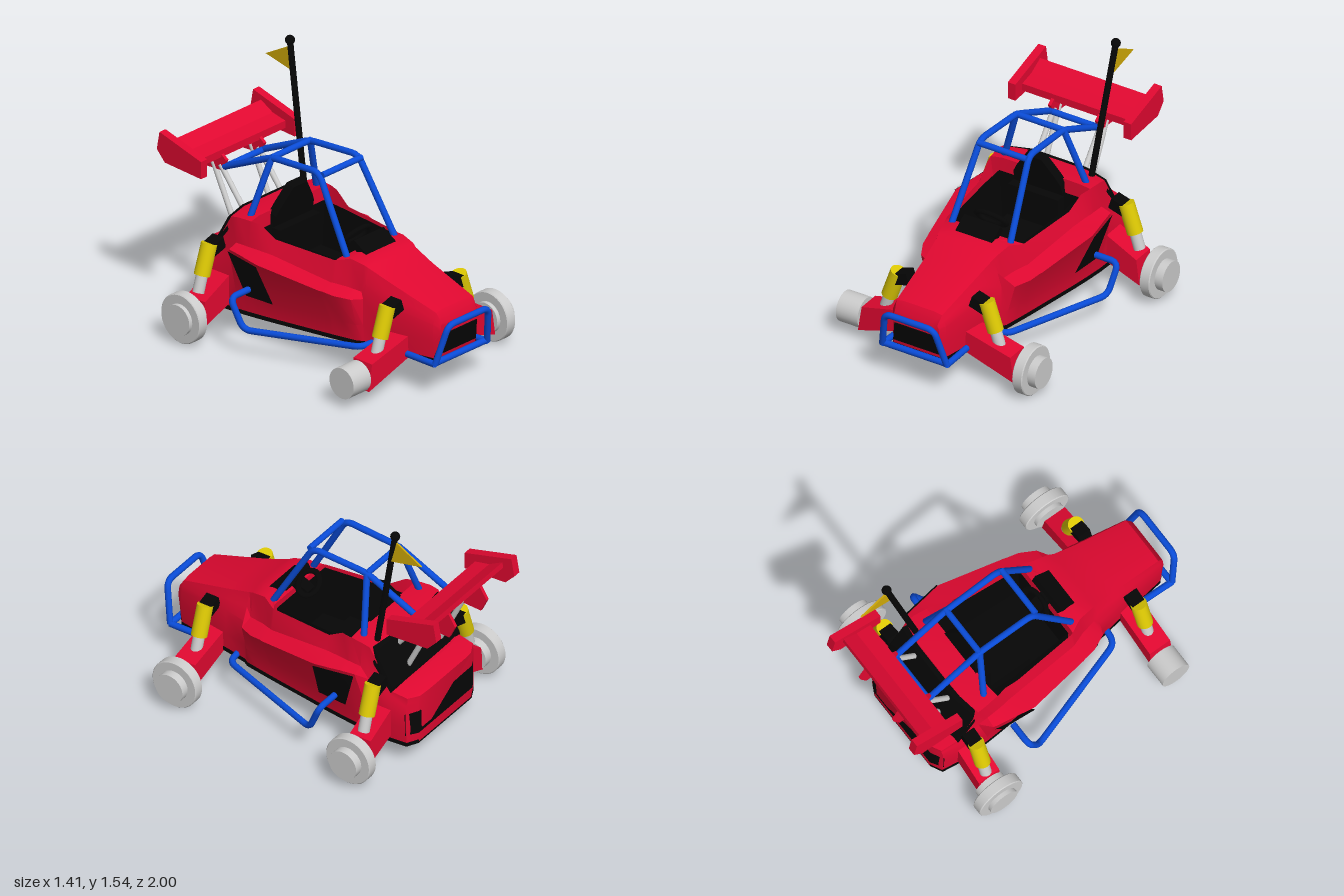
import * as THREE from 'three';
import { toCreasedNormals } from 'three/addons/utils/BufferGeometryUtils.js';

const mat = (color) => new THREE.MeshStandardMaterial({ color, side: THREE.DoubleSide });
const RED = mat(0xe00830), BLACK = mat(0x060606), BLUE = mat(0x0a4cd8);
const YELLOW = mat(0xdcc804), GREY = mat(0xcccccc), FLAG = mat(0xcfa808);
const V = (a) => new THREE.Vector3(...a);
const flip = (pts, s) => pts.map(([x, y, z]) => [x * s, y, z]);

function add(parent, name, geo, material, pos = [0, 0, 0], rot = [0, 0, 0]) {
  const m = new THREE.Mesh(geo, material);
  m.name = name;
  m.position.set(...pos);
  m.rotation.set(...rot);
  parent.add(m);
  return m;
}

// Skin over symmetric cross-sections [z, [x, y] ...], front to back; the tail bows backward
function loft(sections, closed = true) {
  const pos = [], idx = [];
  const n = (sections[0].length - 1) * 2;
  for (const [z, ...half] of sections) {
    const ring = [...half, ...[...half].reverse().map(([x, y]) => [-x, y])];
    for (const [x, y] of ring) pos.push(x, y, z < -0.46 ? z - 0.045 * Math.max(0, 1 - (x / 0.345) ** 2) : z);
  }
  for (let i = 0; i < sections.length - 1; i++)
    for (let j = 0; j < (closed ? n : n - 1); j++) {
      const k = (j + 1) % n, a = i * n + j, b = i * n + k;
      idx.push(a, a + n, b, a + n, b + n, b);
    }
  const e = (sections.length - 1) * n;
  for (let k = 1; k < n - 1; k++) idx.push(0, k, k + 1, e, e + k + 1, e + k);
  const g = new THREE.BufferGeometry();
  g.setAttribute('position', new THREE.Float32BufferAttribute(pos, 3));
  g.setIndex(idx);
  return toCreasedNormals(g, 0.6);
}

// Tube along straight runs with rounded corners
function pipe(pts) {
  const p = pts.map(V), path = new THREE.CurvePath();
  let from = p[0];
  for (let i = 1; i < p.length - 1; i++) {
    const toward = (q) => p[i].clone().add(q.clone().sub(p[i]).setLength(Math.min(0.05, q.distanceTo(p[i]) * 0.45)));
    const a = toward(p[i - 1]), b = toward(p[i + 1]);
    path.add(new THREE.LineCurve3(from, a));
    path.add(new THREE.QuadraticBezierCurve3(a, p[i], b));
    from = b;
  }
  path.add(new THREE.LineCurve3(from, p[p.length - 1]));
  return new THREE.TubeGeometry(path, pts.length > 2 ? 64 : 1, 0.019, 10);
}

// Cylinder between two points
function rod(parent, name, a, b, r, material) {
  const d = V(b).sub(V(a));
  const m = add(parent, name, new THREE.CylinderGeometry(r, r, d.length(), 20), material);
  m.position.copy(V(a)).addScaledVector(d, 0.5);
  m.quaternion.setFromUnitVectors(new THREE.Vector3(0, 1, 0), d.normalize());
}

// Plate in the xy plane, centred on its thickness
function plate(pts, depth) {
  const s = new THREE.Shape(pts.map(([x, y]) => new THREE.Vector2(x, y)));
  return new THREE.ExtrudeGeometry(s, { depth, bevelEnabled: false }).translate(0, 0, -depth / 2);
}
// Plate in the zy plane
const sidePlate = (pts, depth) => plate(pts.map(([z, y]) => [-z, y]), depth).rotateY(Math.PI / 2);

function buildWheel(parent, name, x, y, z, withDisc) {
  const wheel = new THREE.Group();
  wheel.name = name;
  wheel.position.set(x, y, z);
  parent.add(wheel);
  const hub = new THREE.CylinderGeometry(0.092, 0.092, 0.142, 32).rotateZ(Math.PI / 2);
  add(wheel, 'hub', hub, GREY);
  if (!withDisc) return;
  const profile = [[0, -0.033], [0.143, -0.033], [0.148, -0.028], [0.148, 0.028], [0.143, 0.033], [0, 0.033]];
  const disc = new THREE.LatheGeometry(profile.map(([r, h]) => new THREE.Vector2(r, h)), 40);
  add(wheel, 'rim', toCreasedNormals(disc.rotateZ(-Math.PI / 2), 0.5), GREY, [-0.013, 0, 0]);
}

// Body section: floor and waist follow the length, a wall stands on the pod shelf,
// and the cockpit drops its inner edge
function bodySection([z, podX, podY, rimX, rimY, innerX]) {
  const taper = Math.max(0, (z + 0.45) / 1.33) ** 1.3;
  const floorX = Math.min(0.34 - 0.16 * taper, podX - 0.005), floorY = 0.172 + 0.045 * z;
  const waist = [Math.min(floorX + 0.012, podX), floorY + 0.11];
  const foot = z > 0.4 ? [(podX + rimX) / 2, (podY + rimY) / 2] : [rimX + 0.2 * (podX - rimX), podY + 0.02];
  const innerY = z < 0.21 && z > -0.365 ? 0.28 : rimY + 0.008;
  return [z, [floorX, floorY], waist, [podX, podY], foot, [rimX, rimY], [innerX, innerY]];
}

export function createModel() {
  const root = new THREE.Group();
  const car = new THREE.Group();
  car.name = 'buggy';
  car.position.x = -0.021;
  root.add(car);

  // Body shell: z, pod edge x y, rim x y, inner edge x
  const hull = [
    [0.88, 0.175, 0.43, 0.15, 0.495, 0.1],
    [0.55, 0.22, 0.47, 0.175, 0.585, 0.1],
    [0.41, 0.24, 0.46, 0.19, 0.63, 0.1],
    [0.38, 0.31, 0.47, 0.2, 0.645, 0.1],
    [0.29, 0.355, 0.48, 0.215, 0.662, 0.1],
    [0.215, 0.37, 0.49, 0.25, 0.64, 0.23],
    [0.2, 0.375, 0.49, 0.255, 0.64, 0.245],
    [-0.2, 0.45, 0.545, 0.295, 0.65, 0.265],
    [-0.3, 0.434, 0.547, 0.31, 0.715, 0.265],
    [-0.36, 0.424, 0.55, 0.325, 0.72, 0.265],
    [-0.37, 0.423, 0.55, 0.325, 0.72, 0.25],
    [-0.45, 0.41, 0.55, 0.335, 0.72, 0.22],
    [-0.5, 0.345, 0.5, 0.335, 0.71, 0.2],
    [-0.64, 0.345, 0.42, 0.33, 0.465, 0.2],
    [-0.74, 0.33, 0.4, 0.32, 0.45, 0.2],
    [-0.76, 0.26, 0.4, 0.25, 0.443, 0.18],
  ].map(bodySection);
  const noseTip = [0.915, [0.15, 0.37], [0.153, 0.385], [0.15, 0.41], [0.147, 0.425], [0.14, 0.44], [0.1, 0.445]];
  add(car, 'bodyShell', loft([noseTip, ...hull]), RED);
  add(car, 'floorPan', loft(hull.map(([z, [x, y]]) => [z, [x + 0.004, y - 0.012], [x + 0.004, y + 0.012]])), BLACK);

  // Cockpit
  add(car, 'cockpitLining', loft([
    [0.195, [0.235, 0.635], [0.22, 0.33]],
    [-0.2, [0.264, 0.645], [0.24, 0.33]],
    [-0.35, [0.262, 0.655], [0.24, 0.33]],
  ], false), BLACK);
  const headrestEdge = [[0.165, 0], [0.155, 0.115], [0.13, 0.165], [0.055, 0.28]];
  add(car, 'headrest', plate([...headrestEdge, ...flip(headrestEdge, -1).reverse()], 0.055), BLACK, [0, 0.595, -0.385], [0.25, 0, 0]);
  add(car, 'seatBack', new THREE.BoxGeometry(0.33, 0.3, 0.06), BLACK, [0, 0.48, -0.32]);
  add(car, 'seatBase', new THREE.BoxGeometry(0.34, 0.1, 0.3), BLACK, [0, 0.38, -0.17]);
  add(car, 'dashboard', new THREE.BoxGeometry(0.24, 0.045, 0.11), BLACK, [0, 0.675, 0.265], [0.55, 0, 0]);
  add(car, 'steeringColumn', new THREE.BoxGeometry(0.07, 0.05, 0.1), BLACK, [0, 0.655, 0.18], [-0.5, 0, 0]);
  // Wheel rim faces the driver
  const steering = add(car, 'steeringWheel', new THREE.TorusGeometry(0.062, 0.014, 10, 28), BLACK, [0, 0.69, 0.14], [0.6, 0, 0]);
  steering.scale.x = 1.5;

  // Black trim on nose, tail and engine
  add(car, 'nosePanel', plate([[-0.17, -0.07], [0.17, -0.07], [0.14, 0.07], [-0.14, 0.07]], 0.02), BLACK, [0, 0.303, 0.893], [0.25, 0, 0]);
  add(car, 'rearPanel', loft([
    [-0.735, [0.332, 0.2], [0.336, 0.345]],
    [-0.765, [0.263, 0.2], [0.267, 0.345]],
  ]), BLACK);
  add(car, 'engineCover', loft([
    [-0.503, [0.325, 0.66], [0.315, 0.71], [0.17, 0.722]],
    [-0.53, [0.34, 0.61], [0.325, 0.695], [0.18, 0.71]],
    [-0.645, [0.34, 0.46], [0.328, 0.49], [0.2, 0.505]],
  ]), BLACK);

  // Front and rear wheels
  buildWheel(root, 'frontLeftWheel', 0.569, 0.154, 0.63, true);
  buildWheel(root, 'frontRightWheel', -0.603, 0.154, 0.63, false);
  buildWheel(root, 'rearLeftWheel', 0.631, 0.165, -0.585, true);
  buildWheel(root, 'rearRightWheel', -0.638, 0.165, -0.585, true);

  for (const s of [1, -1]) {
    // Side trim panels
    const quad = new THREE.BufferGeometry().setFromPoints(
      flip([[0.353, 0.28, -0.17], [0.368, 0.28, -0.36], [0.422, 0.542, -0.45], [0.46, 0.537, -0.2]], s).map(V));
    quad.setIndex(s > 0 ? [0, 1, 3, 1, 2, 3] : [0, 3, 1, 1, 3, 2]);
    quad.computeVertexNormals();
    add(car, 'sidePanel', quad, BLACK);

    // Suspension arms and shock absorbers
    const arm = (name, pts, z) => add(car, name, plate(flip(pts, s), 0.14), RED, [0, 0, z]);
    arm('frontArm', [[0.17, 0.19], [0.17, 0.32], [0.49, 0.24], [0.515, 0.08]], 0.64);
    arm('rearArm', [[0.28, 0.2], [0.28, 0.38], [0.54, 0.25], [0.56, 0.09]], -0.58);
    const shock = (name, x, y, z) => {
      const [top, mid, low] = flip([[x, y, z], [x + 0.06, y - 0.175, z], [x + 0.09, y - 0.27, z]], s);
      rod(car, name + 'Spring', top, mid, 0.047, YELLOW);
      rod(car, name + 'Piston', mid, low, 0.034, GREY);
      add(car, name + 'Mount', new THREE.BoxGeometry(0.1, 0.07, 0.08), BLACK, [s * (x - 0.035), y - 0.025, z], [0, 0, -s * 0.3]);
    };
    shock('frontShock', 0.29, 0.51, 0.64);
    shock('rearShock', 0.425, 0.55, -0.585);

    // Roll cage side, brace, nerf bar and bumper rail
    const tube = (name, pts) => add(car, name, pipe(flip(pts, s)), BLUE);
    tube('cageRail', [[0.195, 0.63, 0.255], [0.16, 1.08, 0], [0.155, 1.055, -0.36], [0.155, 0.885, -0.72]]);
    tube('cageBrace', [[0.157, 1.055, -0.36], [0.275, 0.7, -0.42]]);
    tube('nerfBar', [[0.2, 0.21, 0.47], [0.31, 0.205, 0.46], [0.53, 0.168, -0.23], [0.55, 0.345, -0.31], [0.4, 0.345, -0.31]]);
    tube('bumperRail', [[0.212, 0.215, 0.93], [0.2, 0.205, 0.6]]);

    // Wing end plates, fins and struts
    add(car, 'wingEndPlate', sidePlate([[-0.665, 1.015], [-0.98, 1.1], [-1, 0.99], [-0.94, 0.925], [-0.665, 0.91]], 0.05), RED, [s * 0.382, 0, 0]);
    add(car, 'wingFin', sidePlate([[-0.7, 0.93], [-0.74, 0.96], [-0.9, 1.03], [-0.96, 0.935], [-0.92, 0.85], [-0.73, 0.86]], 0.02), RED, [s * 0.155, 0, 0]);
    rod(car, 'frontWingStrut', [s * 0.155, 0.64, -0.55], [s * 0.155, 0.89, -0.75], 0.016, GREY);
    rod(car, 'rearWingStrut', [s * 0.155, 0.55, -0.64], [s * 0.155, 0.9, -0.81], 0.016, GREY);
  }

  // Cage crossbars
  for (const [y, z] of [[1.07, 0.025], [1.055, -0.36], [0.885, -0.715]])
    rod(car, 'cageCrossbar', [-0.16, y, z], [0.16, y, z], 0.018, BLUE);

  // Front bumper
  add(car, 'bumperHoop', pipe([[-0.212, 0.215, 0.93], [-0.162, 0.455, 0.985], [0.162, 0.455, 0.985], [0.212, 0.215, 0.93]]), BLUE);
  rod(car, 'bumperBar', [-0.212, 0.22, 0.925], [0.212, 0.22, 0.925], 0.019, BLUE);

  // Rear wing blade
  add(car, 'wingBlade', sidePlate([[-0.735, 0.94], [-0.735, 0.985], [-0.83, 1.005], [-0.92, 1.055], [-0.925, 1.02], [-0.84, 0.955]], 0.76), RED);

  // Antenna with flag
  rod(root, 'antenna', [0.23, 0.68, -0.49], [0.29, 1.52, -0.657], 0.018, BLACK);
  add(root, 'antennaTip', new THREE.SphereGeometry(0.028, 20, 14), BLACK, [0.29, 1.522, -0.657]);
  add(root, 'flag', sidePlate([[-0.65, 1.49], [-0.625, 1.34], [-0.835, 1.385]], 0.01), FLAG, [0.288, 0, 0]);

  return root;
}
